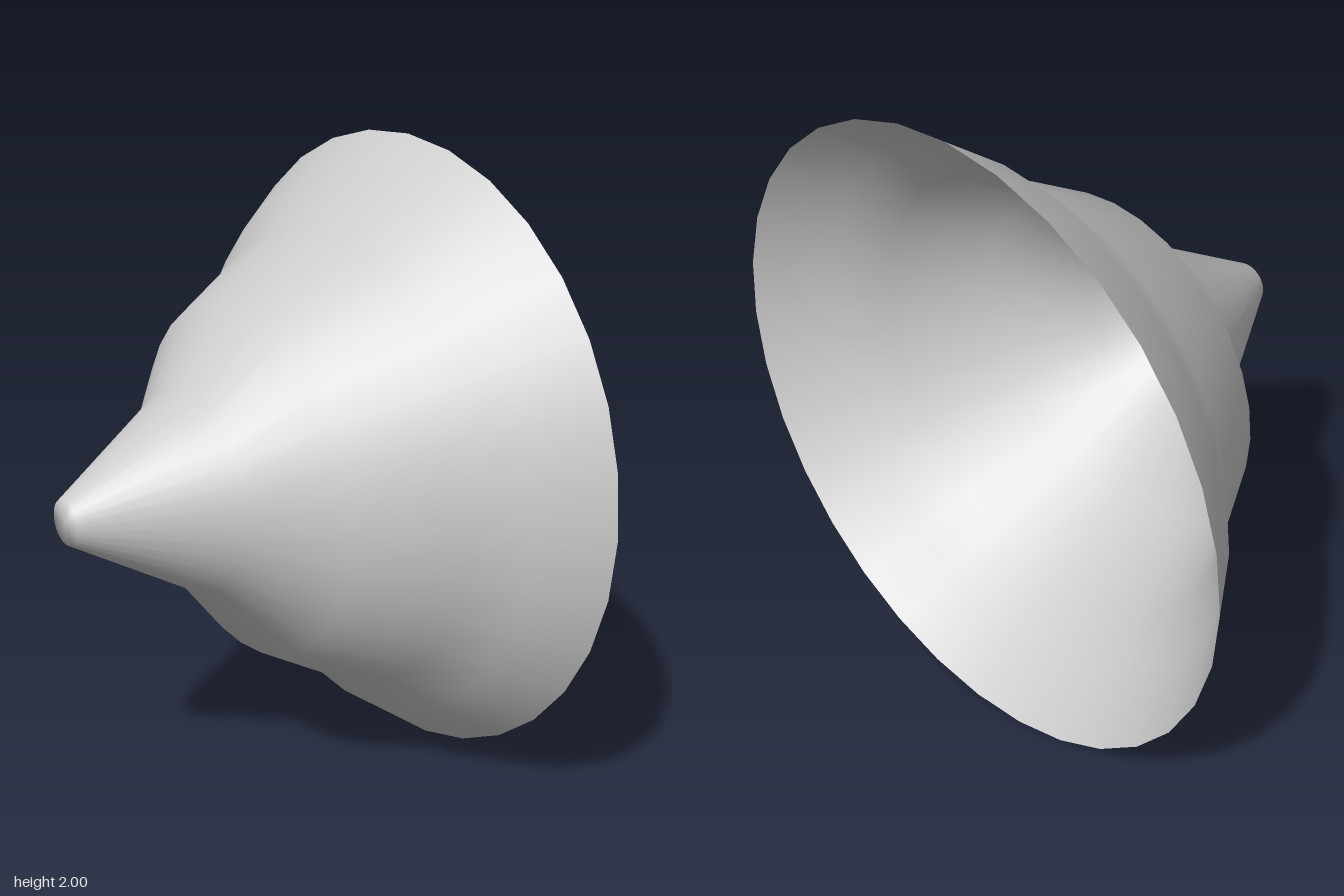
import * as THREE from 'three';

export function createModel() {
  const group = new THREE.Group();
  group.name = 'funnel';

  // Thin flared shell: (radius, position along the axis), closed narrow tip to open rim
  const profile = [
    [0, -0.617], [0.07, -0.617], [0.315, -0.2], [0.56, 0],
    [0.725, 0.29], [0.855, 0.42], [1, 0.617],
  ].map(([r, a]) => new THREE.Vector2(r, a));

  const geometry = new THREE.LatheGeometry(profile, 32);
  geometry.rotateZ(-Math.PI / 2); // lay the axis along x, rim towards +x

  const shell = new THREE.Mesh(
    geometry,
    new THREE.MeshStandardMaterial({ color: 0xcccccc, side: THREE.DoubleSide })
  );
  shell.name = 'flaredShell';
  shell.position.y = 1;
  group.add(shell);

  return group;
}
